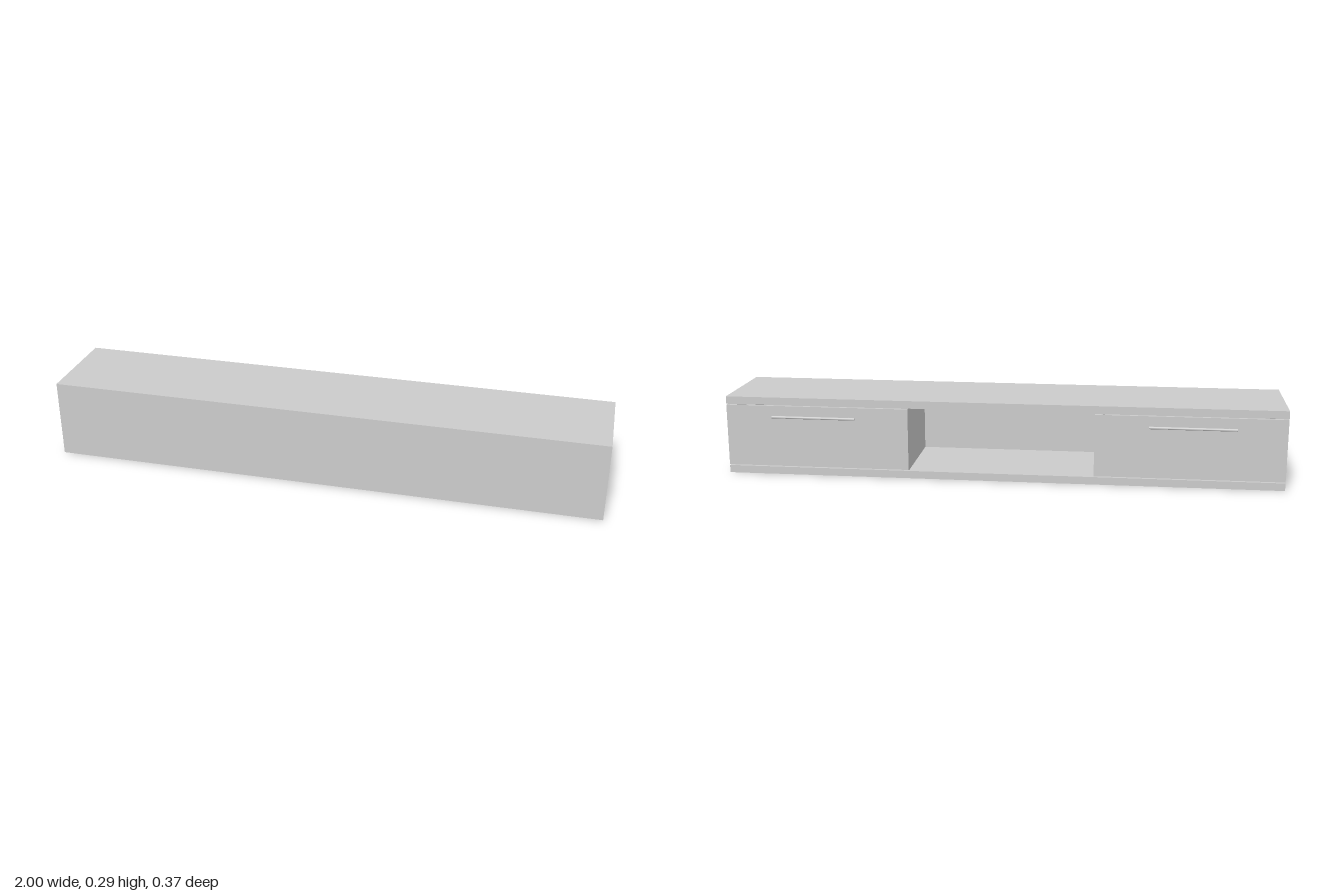
import * as THREE from 'three';

const material = new THREE.MeshStandardMaterial({ color: 0xcccccc });

// Overall limits of the cabinet body
const H = 0.286, BACK = 0.183, FACE = -0.16;
const PANEL = 0.0275;      // board thickness
const FRONT = 0.0105;      // drawer front thickness
const BACKING = 0.013;     // closing panel thickness
const GAP = 0.0035;        // shadow gap above and below the drawer fronts
const NICHE = 0.333;       // half width of the open middle

// Box given by its limits on each axis
function board(name, x0, x1, y0, y1, z0, z1) {
  const mesh = new THREE.Mesh(new THREE.BoxGeometry(x1 - x0, y1 - y0, z1 - z0), material);
  mesh.position.set((x0 + x1) / 2, (y0 + y1) / 2, (z0 + z1) / 2);
  mesh.name = name;
  return mesh;
}

// Round bar on two thin posts
function makeHandle() {
  const handle = new THREE.Group();
  const barZ = -0.1785;
  const bar = new THREE.Mesh(new THREE.CylinderGeometry(0.0045, 0.0045, 0.304, 24), material);
  bar.rotation.z = Math.PI / 2;
  bar.position.z = barZ;
  bar.name = 'handleBar';
  handle.add(bar);
  for (const x of [-0.125, 0.125]) {
    const post = new THREE.Mesh(new THREE.CylinderGeometry(0.0017, 0.0017, FACE - barZ, 12), material);
    post.rotation.x = Math.PI / 2;
    post.position.set(x, 0, (FACE + barZ) / 2);
    post.name = 'handlePost';
    handle.add(post);
  }
  return handle;
}

export function createModel() {
  const model = new THREE.Group();
  model.name = 'lowCabinet';
  const low = PANEL, high = H - PANEL;
  const inner = FACE + FRONT, rear = BACK - BACKING;

  // Carcass
  model.add(board('bottomPanel', -1, 1, 0, low, FACE, BACK));
  model.add(board('topPanel', -1, 1, high, H, FACE, BACK));
  model.add(board('closingPanel', -1, 1, low, high, rear, BACK));

  for (const [side, s] of [['left', 1], ['right', -1]]) {
    const span = (a, b) => (s > 0 ? [a, b] : [-b, -a]);
    model.add(board(side + 'SidePanel', ...span(1 - PANEL, 1), low, high, inner, rear));
    model.add(board(side + 'Divider', ...span(NICHE, NICHE + PANEL), low, high, inner, rear));
    // Drawer front overlaying the side panel and divider
    model.add(board(side + 'DrawerFront', ...span(NICHE, 1), low + GAP, high - GAP, FACE, inner));
    const handle = makeHandle();
    handle.name = side + 'Handle';
    handle.position.set(s * 0.674, 0.218, 0);
    model.add(handle);
  }
  return model;
}
